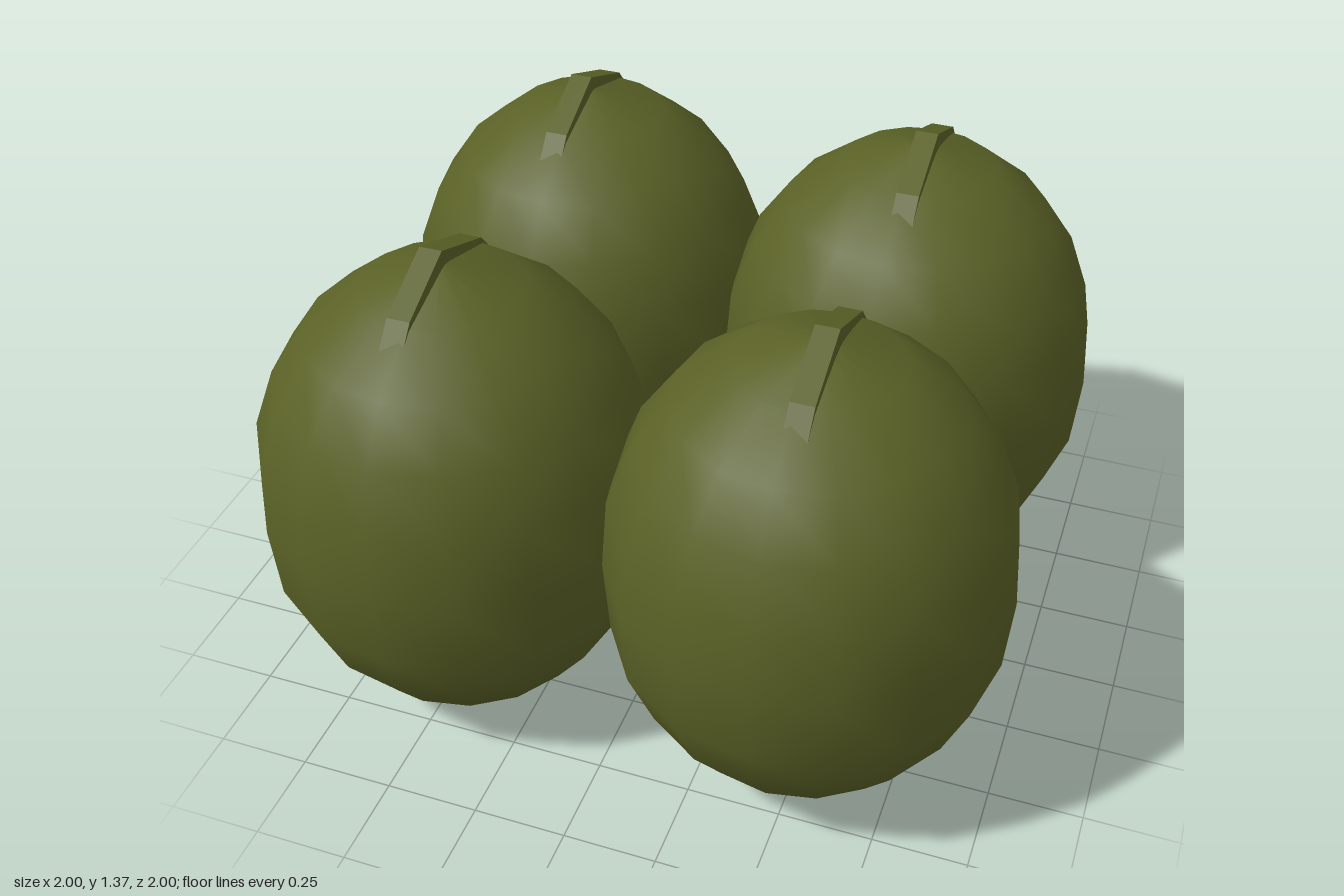
import * as THREE from 'three';

export function createModel() {
  const olive = new THREE.MeshStandardMaterial({ color: 0x5a6126 });
  olive.name = 'olive green';

  // Egg-shaped body, radius and height from bottom to top
  const profile = [
    [0, 0], [0.2, 0.04], [0.33, 0.14], [0.435, 0.28], [0.505, 0.45], [0.52, 0.66],
    [0.505, 0.86], [0.445, 1.02], [0.355, 1.15], [0.21, 1.265], [0, 1.33],
  ].map(([r, y]) => new THREE.Vector2(r, y));
  const bodyGeometry = new THREE.LatheGeometry(profile, 16);

  // Thin ridge over the crown, running front to back
  const outline = new THREE.Shape([
    [-0.3, 1.17], [0.3, 1.17], [0.2, 1.285], [0.01, 1.37], [-0.2, 1.285],
  ].map(([z, y]) => new THREE.Vector2(z, y)));
  const ridgeGeometry = new THREE.ExtrudeGeometry(outline, { depth: 0.06, bevelEnabled: false });
  ridgeGeometry.translate(0, 0, -0.03);
  ridgeGeometry.rotateY(-Math.PI / 2);

  // Two by two cluster
  const cluster = new THREE.Group();
  cluster.name = 'fruitCluster';
  for (const sx of [-1, 1]) {
    for (const sz of [-1, 1]) {
      const fruit = new THREE.Group();
      fruit.name = (sz > 0 ? 'front' : 'back') + (sx > 0 ? 'Left' : 'Right') + 'Fruit';
      const body = new THREE.Mesh(bodyGeometry, olive);
      body.name = 'body';
      const ridge = new THREE.Mesh(ridgeGeometry, olive);
      ridge.name = 'crownRidge';
      ridge.position.x = sx * 0.015;
      fruit.add(body, ridge);
      fruit.position.set(sx * 0.48, 0, sz * 0.48);
      cluster.add(fruit);
    }
  }
  return cluster;
}
